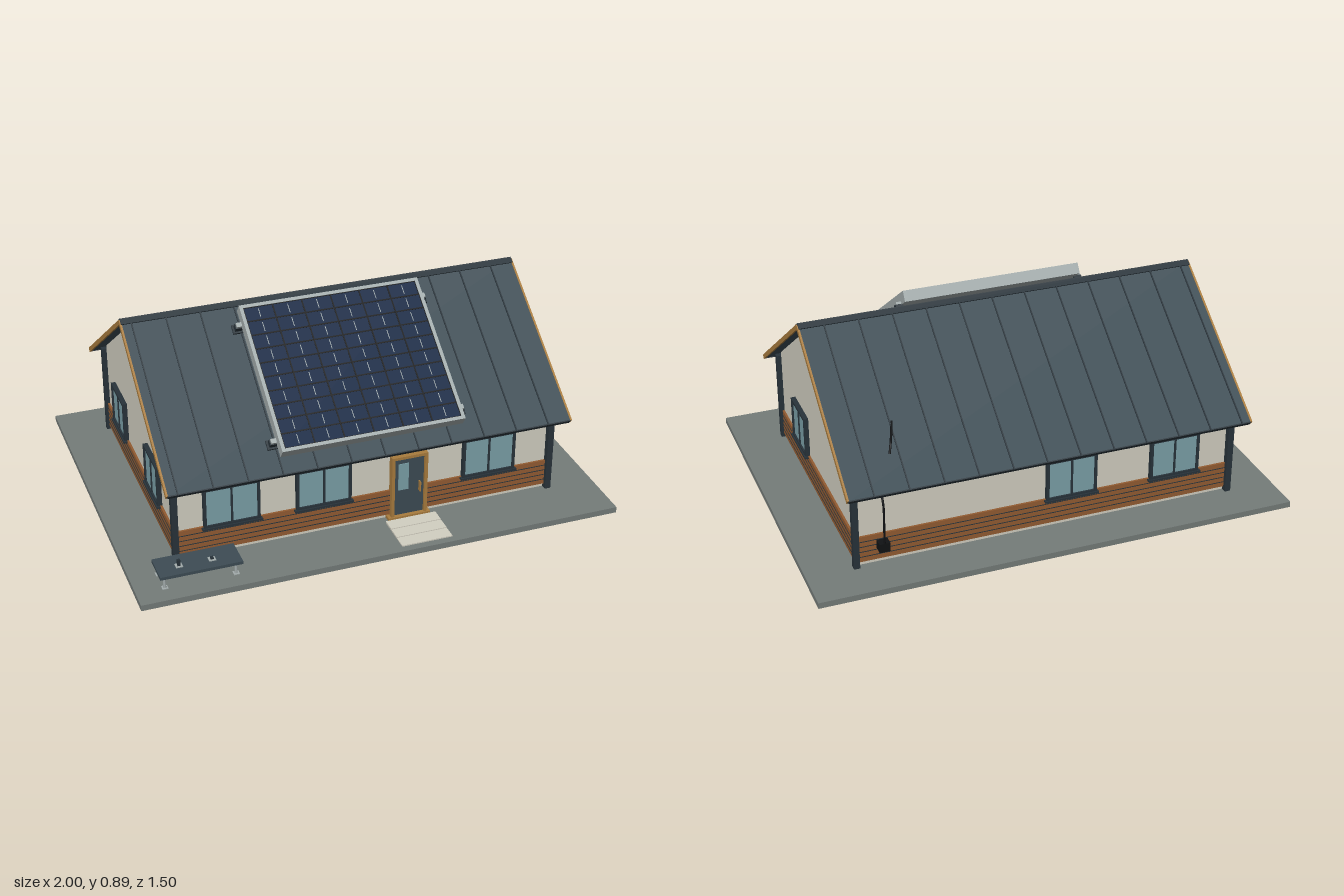
import * as THREE from 'three';

const mat = (name, color) => {
  const m = new THREE.MeshStandardMaterial({ color });
  m.name = name;
  return m;
};

export function createModel() {
  const slate = mat('roof slate', 0x3d4c54);
  const trim = mat('dark trim', 0x28333a);
  const cream = mat('cream wall', 0xd2cfc1);
  const wood = mat('wood cladding', 0x935c32);
  const ochre = mat('ochre timber', 0xa97c3e);
  const concrete = mat('concrete', 0x757c79);
  const glass = mat('window glass', 0x7ba0a8);
  const black = mat('black', 0x101214);
  const navy = mat('solar cell', 0x0a2342);
  const metal = mat('aluminium', 0xa3acac);

  const root = new THREE.Group();
  root.name = 'house';

  // Box given by its extents on each axis
  const box = (parent, name, m, x0, x1, y0, y1, z0, z1) => {
    const mesh = new THREE.Mesh(new THREE.BoxGeometry(x1 - x0, y1 - y0, z1 - z0), m);
    mesh.position.set((x0 + x1) / 2, (y0 + y1) / 2, (z0 + z1) / 2);
    mesh.name = name;
    parent.add(mesh);
    return mesh;
  };
  const group = (parent, name) => {
    const g = new THREE.Group();
    g.name = name;
    parent.add(g);
    return g;
  };

  // Ground slab and feet
  box(root, 'groundSlab', concrete, -1, 1, 0.035, 0.06, -0.75, 0.75);
  for (const x of [-0.915, 0.915]) for (const z of [-0.665, 0.665])
    box(root, 'foot', black, x - 0.033, x + 0.033, 0, 0.035, z - 0.033, z + 0.033);

  // Walls with gables, extruded along x
  const ridgeZ = -0.03, ridgeY = 0.862, slope = 0.7, half = 0.53;
  const eaveY = ridgeY - slope * half - 0.018;
  const section = new THREE.Shape([
    [ridgeZ - half, 0.06], [ridgeZ + half, 0.06], [ridgeZ + half, eaveY],
    [ridgeZ, ridgeY - 0.018], [ridgeZ - half, eaveY],
  ].map(([z, y]) => new THREE.Vector2(z, y)));
  const wallGeo = new THREE.ExtrudeGeometry(section, { depth: 1.58, bevelEnabled: false });
  wallGeo.rotateY(-Math.PI / 2).translate(0.79, 0, 0);
  const walls = new THREE.Mesh(wallGeo, cream);
  walls.name = 'walls';
  root.add(walls);

  // Corner posts
  for (const s of [-1, 1]) for (const [z0, z1] of [[0.5, 0.525], [-0.585, -0.56]])
    box(root, 'cornerPost', trim, s > 0 ? 0.785 : -0.81, s > 0 ? 0.81 : -0.785, 0.06, 0.455, z0, z1);

  // One group per wall: local x runs along the wall, local z points outward
  const side = (name, x, z, turn) => {
    const g = group(root, name);
    g.position.set(x, 0, z);
    g.rotation.y = turn;
    return g;
  };
  const front = side('frontWall', 0, 0.5, 0);
  const back = side('backWall', 0, -0.56, Math.PI);
  const left = side('leftWall', 0.79, ridgeZ, Math.PI / 2);
  const right = side('rightWall', -0.79, ridgeZ, -Math.PI / 2);

  // Plank cladding with dark joints
  for (const [g, w] of [[front, 0.785], [back, 0.785], [left, half], [right, half]]) {
    const c = group(g, 'cladding');
    box(c, 'planks', wood, -w, w, 0.077, 0.19, 0, 0.009);
    for (let i = 1; i < 5; i++) {
      const y = 0.077 + i * 0.0226;
      box(c, 'plankJoint', trim, -w, w, y - 0.0015, y + 0.0015, 0, 0.0105);
    }
  }

  // Two-pane windows
  const addWindow = (g, cx, w) => {
    const n = group(g, 'window');
    n.position.x = cx;
    const h = w / 2, y0 = 0.187, y1 = 0.365, t = 0.011;
    box(n, 'pane', glass, -h + t, h - t, y0 + t, y1 - t, 0, 0.013);
    for (const s of [-1, 1])
      box(n, 'jamb', trim, s > 0 ? h - t : -h, s > 0 ? h : -h + t, y0, y1, 0, 0.02);
    box(n, 'head', trim, -h, h, y1 - t, y1, 0, 0.02);
    box(n, 'bottomRail', trim, -h, h, y0, y0 + t, 0, 0.02);
    box(n, 'mullion', trim, -0.004, 0.004, y0, y1, 0, 0.018);
    box(n, 'sill', trim, -h - 0.008, h + 0.008, y0 - 0.006, y0 + 0.002, 0, 0.026);
  };
  for (const x of [-0.565, -0.185, 0.525]) addWindow(front, x, 0.23);
  for (const x of [0.1, 0.55]) addWindow(back, x, 0.215);
  addWindow(left, -0.22, 0.2);
  for (const x of [-0.295, 0.235]) addWindow(right, x, 0.2);

  // Front door
  const door = group(front, 'door');
  door.position.x = 0.175;
  box(door, 'doorLeaf', slate, -0.064, 0.064, 0.073, 0.338, 0, 0.018);
  for (const s of [-1, 1])
    box(door, 'doorJamb', ochre, s > 0 ? 0.064 : -0.077, s > 0 ? 0.077 : -0.064, 0.066, 0.35, 0, 0.03);
  box(door, 'doorHead', ochre, -0.077, 0.077, 0.338, 0.35, 0, 0.03);
  box(door, 'threshold', ochre, -0.09, 0.09, 0.06, 0.073, 0, 0.035);
  box(door, 'doorPane', glass, -0.046, -0.002, 0.19, 0.312, 0.015, 0.021);
  box(door, 'doorHandle', ochre, 0.042, 0.047, 0.175, 0.22, 0.015, 0.036);

  // Doorstep slabs
  for (let i = 0; i < 3; i++)
    box(root, 'step', cream, 0.07, 0.285, 0.06, 0.069 - i * 0.002, 0.541 + i * 0.06, 0.599 + i * 0.06);

  // Roof slopes: local z runs down the slope, local y is normal to it
  const angle = Math.atan(slope), len = 0.63 * Math.hypot(1, slope);
  const addRoof = (name, dir) => {
    const g = group(root, name);
    g.position.set(0, ridgeY, ridgeZ);
    g.rotation.set(angle, dir > 0 ? 0 : Math.PI, 0, 'YXZ');
    box(g, 'roofSheet', slate, -0.84, 0.84, -0.015, 0, 0.004, len);
    for (const x of [-0.842, 0.842])
      box(g, 'vergeBoard', ochre, x - 0.004, x + 0.004, -0.018, 0.001, 0.004, len);
    box(g, 'ridgeCap', trim, -0.842, 0.842, -0.004, 0.005, 0, 0.024);
    box(g, 'eaveEdge', trim, -0.838, 0.838, -0.017, 0.001, len - 0.002, len + 0.003);
    for (let i = 0; i < 12; i++) {
      const x = dir * (-0.8 + i * 0.14);
      box(g, 'seam', trim, x - 0.0025, x + 0.0025, 0, 0.005, 0.02, len + 0.005);
    }
    return g;
  };
  const frontRoof = addRoof('frontRoof', 1);
  addRoof('backRoof', -1);

  // Solar panel on the front slope
  const solar = group(frontRoof, 'solarPanel');
  const px = 0.38, z0 = 0.058, z1 = 0.707, top = 0.073, rim = 0.014;
  box(solar, 'panelBody', metal, -px + 0.002, px - 0.002, 0.027, top - 0.006, z0 + 0.002, z1 - 0.002);
  for (const s of [-1, 1])
    box(solar, 'sideFrame', metal, s > 0 ? px - rim : -px, s > 0 ? px : -px + rim, 0.027, top, z0, z1);
  box(solar, 'upperFrame', metal, -px + rim, px - rim, 0.027, top, z0, z0 + rim);
  box(solar, 'lowerFrame', metal, -px + rim, px - rim, 0.027, top, z1 - rim, z1);
  const ix = px - rim, iz0 = z0 + rim, iz1 = z1 - rim;
  box(solar, 'cells', navy, -ix, ix, top - 0.007, top - 0.003, iz0, iz1);
  const cols = 6, rows = 10, cw = 2 * ix / cols, ch = (iz1 - iz0) / rows;
  for (let i = 0; i <= cols; i++) {
    const x = -ix + i * cw;
    box(solar, 'cellColumnLine', black, x - 0.003, x + 0.003, top - 0.006, top - 0.0018, iz0, iz1);
  }
  for (let j = 0; j <= rows; j++) {
    const z = iz0 + j * ch;
    box(solar, 'cellRowLine', black, -ix, ix, top - 0.006, top - 0.0022, z - 0.003, z + 0.003);
  }
  for (let i = 0; i < cols; i++) for (let j = 0; j < rows; j++) {
    const x = -ix + (i + 0.5) * cw, z = iz0 + (j + 0.5) * ch;
    box(solar, 'busbar', metal, x - 0.0015, x + 0.0015, top - 0.006, top - 0.0022, z - 0.02, z + 0.02);
  }

  // Panel brackets
  for (const s of [-1, 1]) for (const z of [0.125, 0.64]) {
    const b = group(solar, 'bracket');
    b.position.set(s * 0.39, 0, z);
    box(b, 'bracketFoot', trim, -0.024, 0.024, 0, 0.008, -0.02, 0.02);
    box(b, 'bracketPost', trim, -0.016, 0.016, 0.008, 0.03, -0.012, 0.012);
    box(b, 'bracketClamp', metal, -0.012, 0.012, 0.03, 0.04, -0.01, 0.01);
  }

  // Cables on the back roof and back wall
  const cable = (name, pts) => {
    const curve = new THREE.CatmullRomCurve3(pts.map((p) => new THREE.Vector3(...p)));
    const mesh = new THREE.Mesh(new THREE.TubeGeometry(curve, 24, 0.0045, 8), black);
    mesh.name = name;
    root.add(mesh);
  };
  cable('roofCable', [[0.59, 0.587, -0.42], [0.612, 0.562, -0.48], [0.628, 0.545, -0.52], [0.637, 0.515, -0.535]]);
  cable('wallCable', [[0.69, 0.4, -0.563], [0.69, 0.37, -0.59], [0.69, 0.335, -0.607], [0.69, 0.24, -0.607], [0.69, 0.15, -0.605]]);
  box(root, 'junctionBox', black, 0.668, 0.712, 0.128, 0.166, -0.61, -0.56);

  // Bench with fittings
  const bench = group(root, 'bench');
  box(bench, 'benchTop', slate, -0.905, -0.575, 0.108, 0.121, 0.555, 0.685);
  for (const x of [-0.885, -0.6]) for (const z of [0.575, 0.668]) {
    const leg = new THREE.Mesh(new THREE.CylinderGeometry(0.006, 0.006, 0.05, 12), metal);
    leg.position.set(x, 0.084, z);
    leg.name = 'benchLeg';
    bench.add(leg);
    box(bench, 'legPlate', metal, x - 0.012, x + 0.012, 0.06, 0.063, z - 0.012, z + 0.012);
  }
  for (const x of [-0.817, -0.685]) {
    box(bench, 'underBox', trim, x - 0.02, x + 0.02, 0.085, 0.108, 0.615, 0.647);
    box(bench, 'topPlate', metal, x - 0.014, x + 0.014, 0.121, 0.124, 0.617, 0.645);
    box(bench, 'topPost', trim, x - 0.006, x + 0.006, 0.124, x < -0.8 ? 0.15 : 0.132, 0.625, 0.637);
  }
  return root;
}
